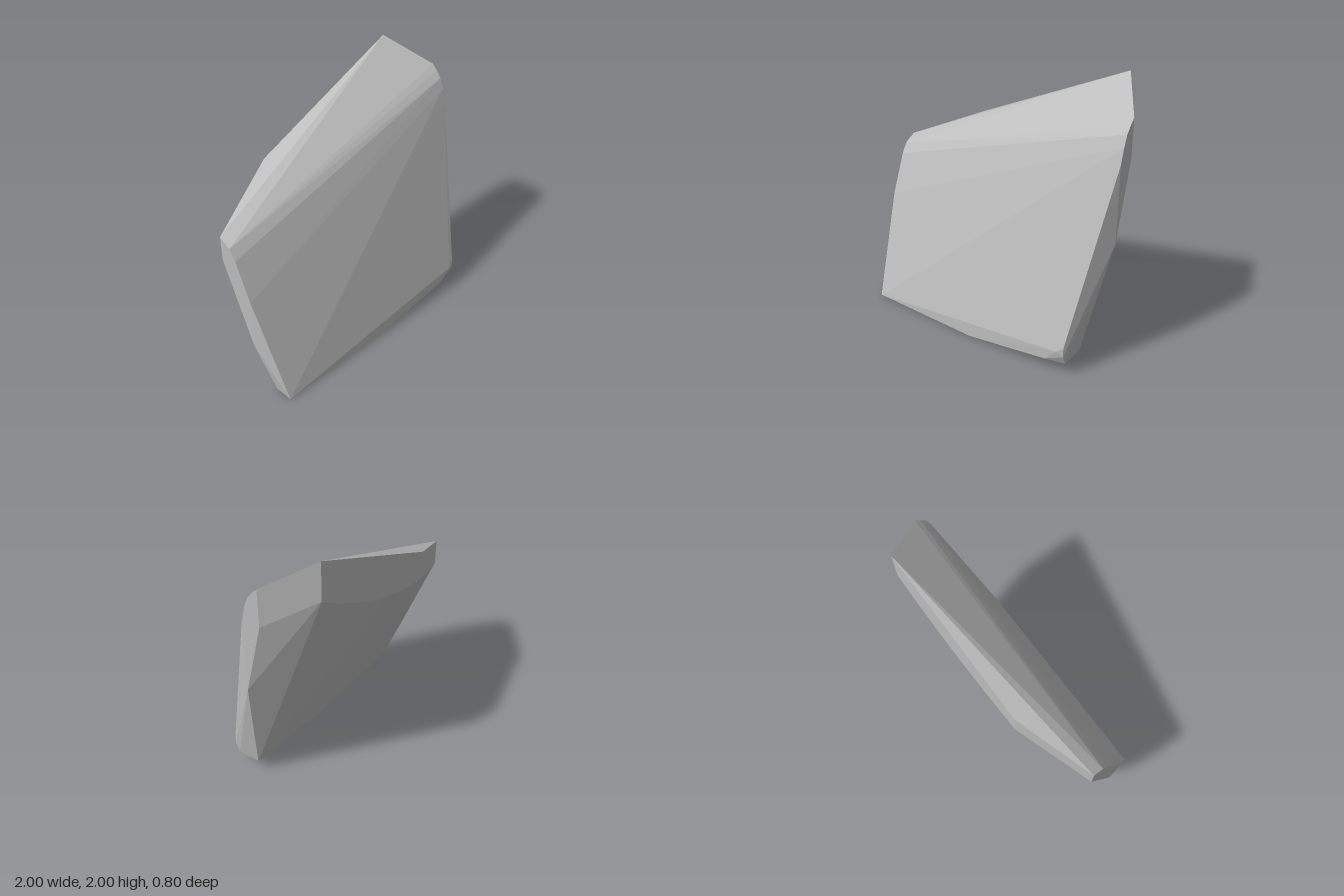
import * as THREE from 'three';
import { ConvexGeometry } from 'three/addons/geometries/ConvexGeometry.js';

export function createModel() {
  const group = new THREE.Group();
  const stone = new THREE.MeshStandardMaterial({ color: 0xbcbcbc });
  stone.name = 'stone grey';

  const points = [];
  const add = (x, y, z) => points.push(new THREE.Vector3(x, y, z));

  // Side facets: [z, y] outlines at x = -1 and x = 1, with rounded upper shoulders
  const low = [[-0.2, 1.23], [-0.11, 1.18], [-0.06, 1.1], [-0.02, 1.0], [0.06, 0.8], [0.06, 0.38], [-0.2, 1.03]];
  const high = [[-0.08, 1.8], [-0.04, 1.76], [0, 1.71], [0.03, 1.63], [0.06, 1.52], [0.06, 0.96], [-0.08, 1.52]];
  low.forEach(([z, y]) => add(-1, y, z));
  high.forEach(([z, y]) => add(1, y, z));

  // Back facet: straight top edge, lower edge bowed downwards
  add(-0.42, 1.48, -0.4);
  add(0.79, 2, -0.4);
  for (let i = 0; i <= 8; i++) {
    const t = i / 8;
    add(-0.42 + 1.21 * t, 1.25 + 0.47 * t - 0.32 * t * (1 - t), -0.4);
  }

  // Foot: flat on the left, rising to the right
  add(-0.94, 0, 0.34);
  add(-0.94, 0, 0.2);
  add(0, 0, 0.375);
  add(0, 0, 0.19);
  add(0.83, 0.1, 0.18);
  add(0.83, 0.1, 0.36);

  // Chipped front corner
  add(0.68, 0.1, 0.395);
  add(0.78, 0.2, 0.4);
  add(0.83, 0.17, 0.39);
  add(0.83, 0.24, 0.39);

  const slab = new THREE.Mesh(new ConvexGeometry(points), stone);
  slab.name = 'rockSlab';
  group.add(slab);
  return group;
}
